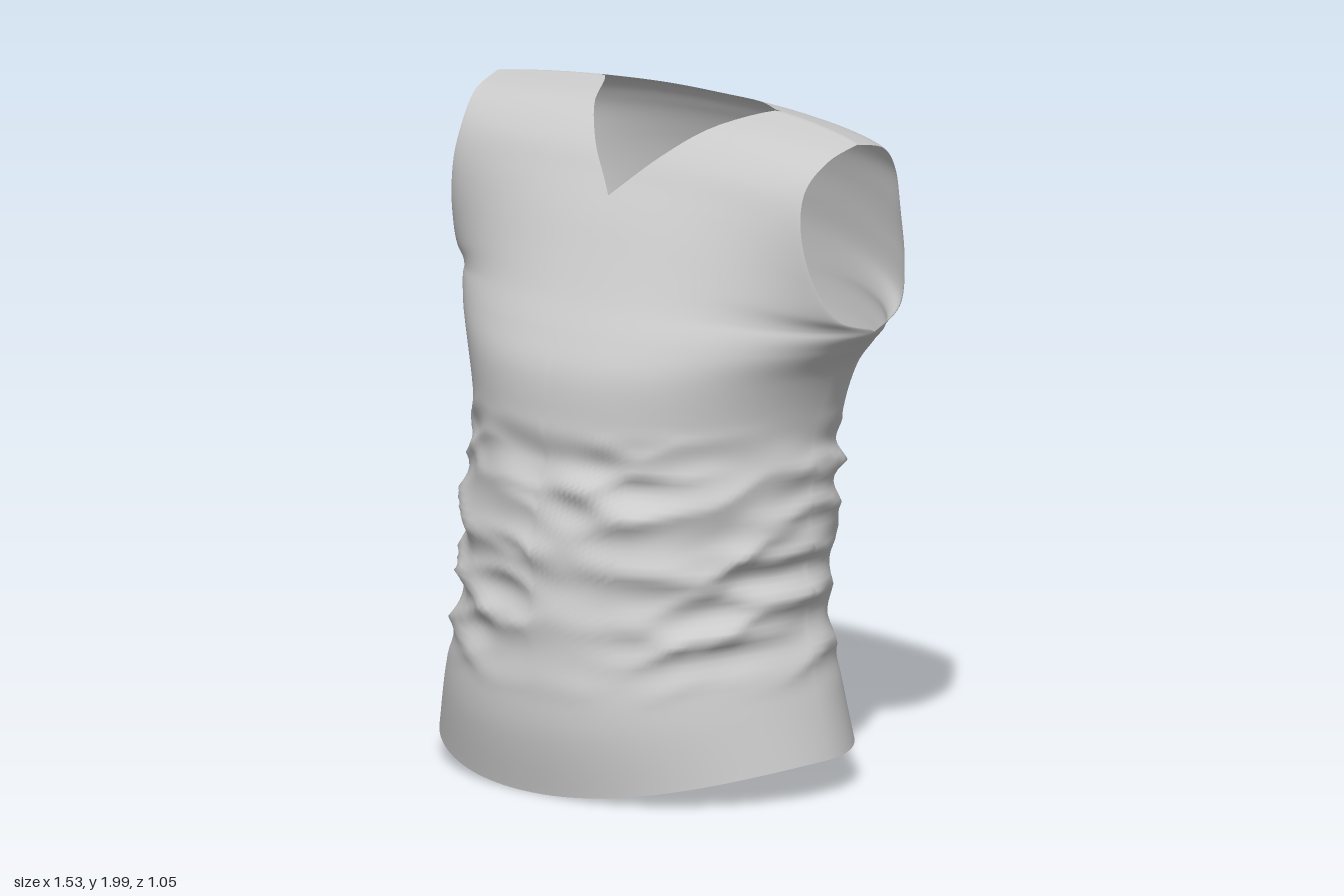
import * as THREE from 'three';
import { mergeGeometries, mergeVertices } from 'three/addons/utils/BufferGeometryUtils.js';

// Rows from hem to shoulder seam.
// Side edge: height, half width, z of front edge, z of back edge (split above the armpit, row 9)
const EDGE = [
  [0.11, 0.685, -0.05, -0.05], [0.28, 0.64, -0.06, -0.06], [0.45, 0.6, -0.07, -0.07],
  [0.62, 0.585, -0.08, -0.08], [0.78, 0.59, -0.09, -0.09], [0.95, 0.585, -0.1, -0.1],
  [1.1, 0.585, -0.12, -0.12], [1.25, 0.635, -0.14, -0.14], [1.34, 0.71, -0.16, -0.16],
  [1.395, 0.765, -0.17, -0.17], [1.45, 0.745, -0.03, -0.3], [1.57, 0.715, 0.045, -0.355],
  [1.72, 0.69, 0.07, -0.365], [1.84, 0.68, 0.04, -0.355], [1.92, 0.7, -0.04, -0.28],
  [1.955, 0.715, -0.15, -0.15],
];
// Centre lines: height, z
const FRONT = [
  [0, 0.49], [0.2, 0.52], [0.4, 0.51], [0.6, 0.485], [0.8, 0.475], [0.97, 0.435], [1.1, 0.435],
  [1.25, 0.42], [1.36, 0.37], [1.46, 0.31], [1.57, 0.25], [1.68, 0.19], [1.78, 0.125],
  [1.87, 0.06], [1.955, -0.05], [2, -0.22],
];
const BACK = [
  [0.14, -0.475], [0.3, -0.45], [0.45, -0.43], [0.6, -0.43], [0.77, -0.465], [0.95, -0.48],
  [1.1, -0.5], [1.25, -0.515], [1.36, -0.525], [1.46, -0.525], [1.58, -0.515], [1.68, -0.495],
  [1.78, -0.47], [1.88, -0.43], [1.955, -0.37], [2, -0.22],
];
const LAST = EDGE.length - 1, ARMPIT = 9, NECK = 0.48;
const COLS = 96, ROWS = 130;
const { smoothstep, lerp } = THREE.MathUtils;

// Smooth interpolation of one table column
function sample(table, col, v) {
  const i = Math.min(Math.floor(v), LAST - 1), t = v - i;
  const p = k => table[Math.max(0, Math.min(LAST, k))][col];
  const a = p(i - 1), b = p(i), c = p(i + 1), d = p(i + 2);
  return b + 0.5 * t * (c - a + t * (2 * a - 5 * b + 4 * c - d + t * (3 * (b - c) + d - a)));
}

// Gathered cloth around the waist: wandering, fading fold ridges
function folds(phi, y) {
  const area = smoothstep(y, 0.27, 0.5) * (1 - smoothstep(y, 0.96, 1.14));
  if (area === 0) return 0;
  const side = Math.abs(Math.sin(phi));
  const ridge = s => 1 - 1.6 * Math.abs(Math.sin(s));
  const warp = 0.045 * Math.sin(2 * phi + 0.6) + 0.03 * Math.sin(5 * phi + 1.3 + 3 * y)
    + 0.012 * Math.sin(11 * phi - 5 * y);
  const broad = ridge((y + warp) * Math.PI / 0.19 + 0.4) * (0.7 + 0.3 * Math.sin(3 * phi + 7 * y));
  const fine = ridge((y - 0.8 * warp + 0.05 * Math.sin(3 * phi)) * Math.PI / 0.125 + 1)
    * (0.5 + 0.5 * Math.sin(4 * phi - 9 * y + 2));
  const slant = Math.sin(9 * phi + 13 * y + 2 * Math.sin(6 * y)) * 0.3;
  return area * (0.022 * broad + 0.016 * fine * (0.6 + 0.6 * side) + 0.014 * slant);
}

// One point of a panel; u runs across, v runs up the rows
function panelPoint(u, v, centre, edgeCol) {
  const a = Math.min(1, Math.abs(u));
  const upper = smoothstep(v, 7, 11);
  const bulge = Math.pow(1 - Math.pow(a, 2.2 + 0.3 * upper), 0.5 + 0.25 * upper);
  const zEdge = v < ARMPIT
    ? (sample(EDGE, 2, v) + sample(EDGE, 3, v)) / 2
    : sample(EDGE, edgeCol, v);
  const y = lerp(sample(centre, 0, v), sample(EDGE, 0, v), a * a);
  const x = u * sample(EDGE, 1, v);
  const z = lerp(zEdge, sample(centre, 1, v), bulge);
  const phi = Math.atan2(x, z + 0.05), f = folds(phi, y);
  return [x + Math.sin(phi) * f, y, z + Math.cos(phi) * f];
}

// Panel grid whose columns stop at the neckline
function panel(centre, edgeCol, neckline, flip) {
  const pos = [], index = [];
  for (let j = 0; j <= ROWS; j++) {
    for (let i = 0; i <= COLS; i++) {
      const u = Math.sin((i / COLS - 0.5) * Math.PI);
      const top = neckline(Math.min(1, Math.abs(u) / NECK));
      pos.push(...panelPoint(u, top * j / ROWS, centre, edgeCol));
      if (i < COLS && j < ROWS) {
        const a = j * (COLS + 1) + i, b = a + 1, c = b + COLS + 1, d = c - 1;
        index.push(...(flip ? [a, c, b, a, d, c] : [a, b, c, a, c, d]));
      }
    }
  }
  const g = new THREE.BufferGeometry();
  g.setAttribute('position', new THREE.Float32BufferAttribute(pos, 3));
  g.setIndex(index);
  return g;
}

export function createModel() {
  const group = new THREE.Group();
  group.name = 'sleevelessTop';

  // V neck in front, shallow scoop behind; welded at side and shoulder seams
  const front = panel(FRONT, 2, t => lerp(11.6, LAST, t), false);
  const back = panel(BACK, 3, t => lerp(14.1, LAST, t * t), true);
  const cloth = mergeVertices(mergeGeometries([front, back]), 1e-4);
  cloth.computeVertexNormals();

  const mesh = new THREE.Mesh(cloth, new THREE.MeshStandardMaterial({
    color: 0xcccccc, side: THREE.DoubleSide,
  }));
  mesh.name = 'garmentCloth';
  group.add(mesh);
  return group;
}
